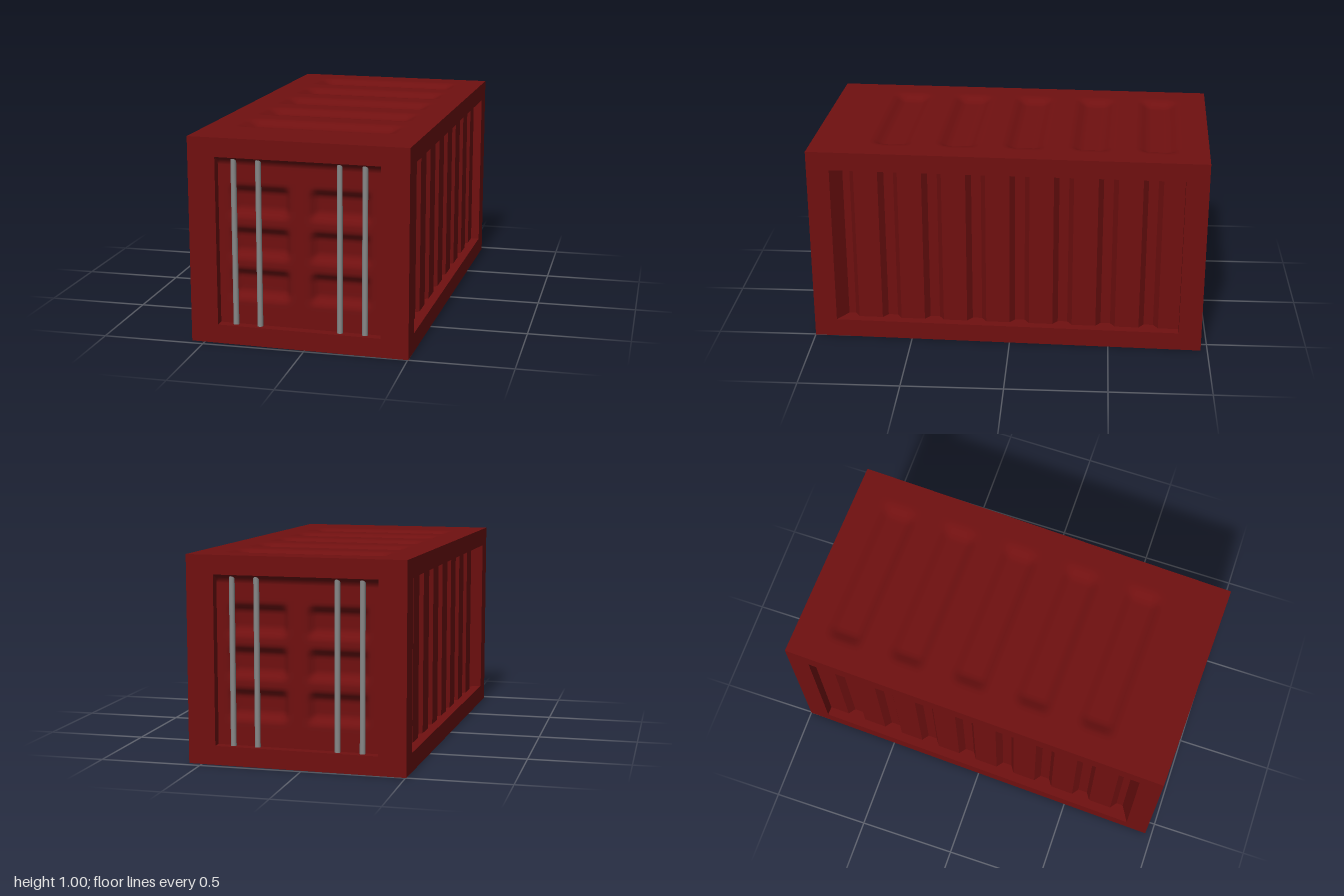
import * as THREE from 'three';
import { toCreasedNormals } from 'three/addons/utils/BufferGeometryUtils.js';

const W = 1.069, H = 1.005, L = 1.967;
const red = new THREE.MeshStandardMaterial({ color: 0x701010 });
const grey = new THREE.MeshStandardMaterial({ color: 0x888888 });
const { smoothstep, clamp, lerp } = THREE.MathUtils;

const range = (a, b, n) => Array.from({ length: n + 1 }, (_, i) => lerp(a, b, i / n));

// 1 inside a soft-edged rectangle, 0 outside
const pad = (x, y, cx, cy, hx, hy, soft) =>
  smoothstep(hx - Math.abs(x - cx), 0, soft) * smoothstep(hy - Math.abs(y - cy), 0, soft);

// Sheet on grid lines us, vs, pushed inwards by depth(u, v); its rim stays at 0 to form the walls
function sheet(us, vs, depth) {
  const nu = us.length + 1, nv = vs.length + 1;
  const geo = new THREE.PlaneGeometry(1, 1, nu, nv);
  const p = geo.attributes.position;
  for (let j = 0; j <= nv; j++) {
    for (let i = 0; i <= nu; i++) {
      const u = us[clamp(i - 1, 0, us.length - 1)];
      const v = vs[vs.length - 1 - clamp(j - 1, 0, vs.length - 1)];
      const rim = i === 0 || j === 0 || i === nu || j === nv;
      p.setXYZ(j * (nu + 1) + i, u, v, rim ? 0 : -depth(u, v));
    }
  }
  return toCreasedNormals(geo, 0.9);
}

// Flat border around a rectangular opening
function border(w, h, ow, oh) {
  const rect = (Type, a, b) => new Type([[-a, -b], [a, -b], [a, b], [-a, b]]
    .map(([x, y]) => new THREE.Vector2(x, y)));
  const shape = rect(THREE.Shape, w / 2, h / 2);
  shape.holes.push(rect(THREE.Path, ow, oh));
  return new THREE.ShapeGeometry(shape);
}

function add(parent, name, geo, mat = red) {
  const mesh = new THREE.Mesh(geo, mat);
  mesh.name = name;
  parent.add(mesh);
  return mesh;
}

// Depth of the side corrugation along the length: [z, depth] points from front to back
const ridgeDepth = 0.045, valleyDepth = 0.08;
const wave = [[0.87, 0], [0.82, valleyDepth]];
for (let i = 0; i < 8; i++) {
  const c = 0.7 - 0.218 * i;
  wave.push([c + 0.085, valleyDepth], [c + 0.06, ridgeDepth]);
  if (i < 7) wave.push([c - 0.06, ridgeDepth], [c - 0.085, valleyDepth]);
}
wave.push([-0.87, ridgeDepth]);

// Long side wall, s = +1 for left, -1 for right
function sideWall(s) {
  const g = new THREE.Group();
  g.name = s > 0 ? 'leftWall' : 'rightWall';
  const pts = wave.map(([z, d]) => [-s * z, d]).sort((a, b) => a[0] - b[0]);
  const depths = new Map(pts);
  add(g, 'sideFrame', border(L, H, 0.87, 0.41));
  add(g, 'corrugatedPanel', sheet(pts.map(q => q[0]), [-0.41, 0.41], u => depths.get(u)));
  g.rotation.y = s * Math.PI / 2;
  g.position.set(s * W / 2, H / 2, 0);
  return g;
}

// End wall with two pressed door leaves and four locking bars
function endWall(s) {
  const g = new THREE.Group();
  g.name = s > 0 ? 'frontDoors' : 'backDoors';
  add(g, 'doorFrame', border(W, H, 0.4, 0.41));
  const depth = (x, y) => {
    let d = 0.045;
    for (const cy of [0.195, -0.008, -0.211])
      d += 0.035 * pad(Math.abs(x), y, 0.195, cy, 0.16, 0.085, 0.05);
    return d * (0.2 + 0.8 * smoothstep(0.41 - y, 0, 0.03));
  };
  add(g, 'doorLeaves', sheet(range(-0.4, 0.4, 56), range(-0.41, 0.41, 56), depth));
  for (const x of [-0.318, -0.197, 0.197, 0.318]) {
    const bar = add(g, 'lockingBar', new THREE.CylinderGeometry(0.014, 0.014, 0.82, 12), grey);
    bar.position.set(x, 0, -0.032);
  }
  g.rotation.y = s > 0 ? 0 : Math.PI;
  g.position.set(0, H / 2, s * L / 2);
  return g;
}

export function createModel() {
  const model = new THREE.Group();
  model.name = 'shippingContainer';
  const body = new THREE.Group();
  body.name = 'containerBody';
  for (const s of [1, -1]) body.add(sideWall(s), endWall(s));

  // Roof with five shallow pressed grooves
  const grooves = range(0.585, -0.735, 4);
  const roofDepth = (x, v) =>
    grooves.reduce((d, z) => d + 0.028 * pad(x, -v, 0, z, 0.4, 0.11, 0.07), 0);
  const roof = add(body, 'roof',
    sheet(range(-W / 2, W / 2, 48), range(-L / 2, L / 2, 110), roofDepth));
  roof.rotation.x = -Math.PI / 2;
  roof.position.y = H;

  // Flat underside
  const floor = add(body, 'underside', new THREE.PlaneGeometry(W, L));
  floor.rotation.x = Math.PI / 2;

  // The container stands slightly turned
  body.rotation.y = -0.031;
  model.add(body);
  return model;
}
